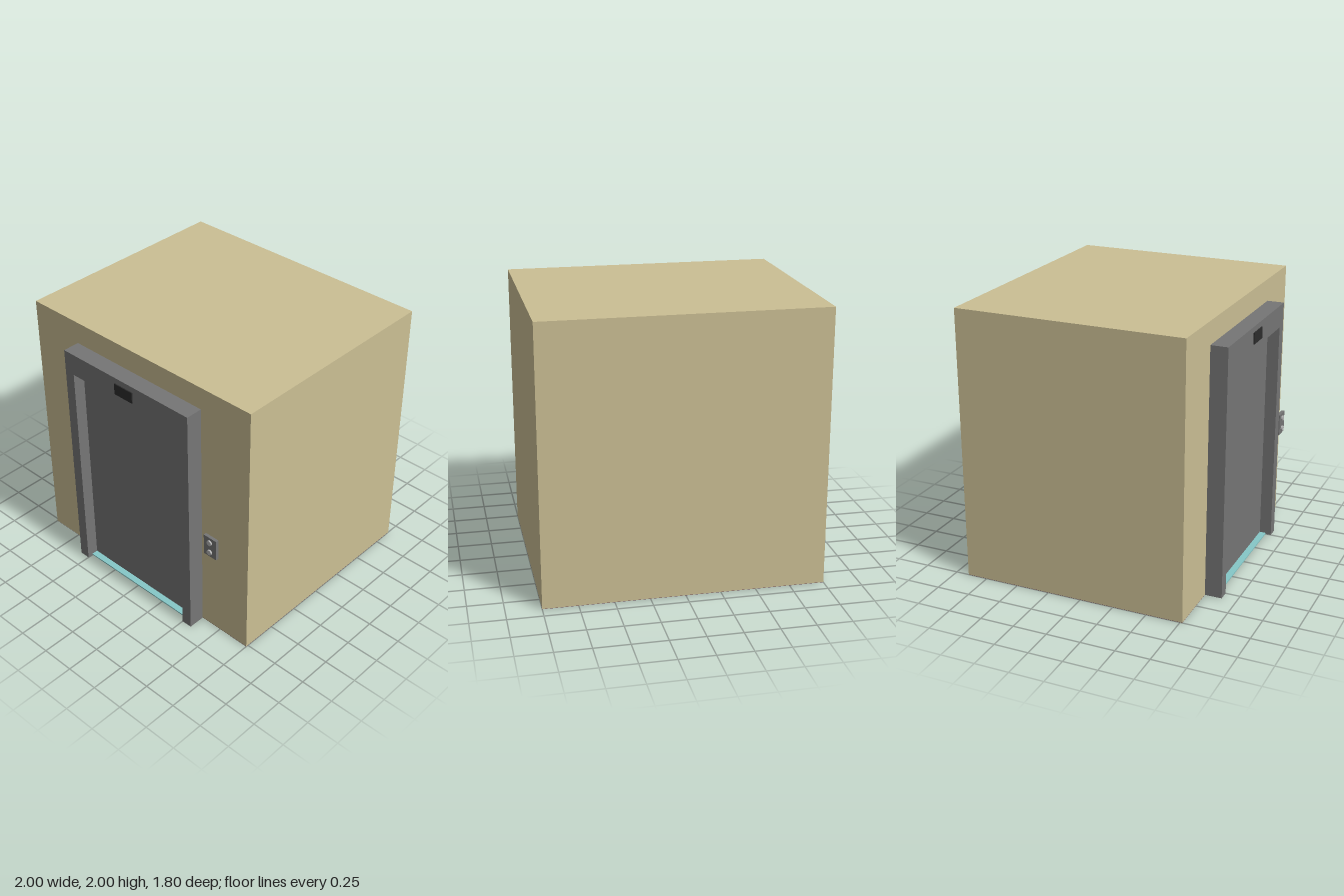
import * as THREE from 'three';

const paint = (color) => new THREE.MeshStandardMaterial({ color });
const wall = paint(0xcbbf94);
const steel = paint(0x767676);
const carpet = paint(0x7a5560);
const dark = paint(0x2c2c2c);
const teal = paint(0x86c8c8);
const silver = paint(0xb4b4b4);

export function createModel() {
  const model = new THREE.Group();

  const add = (name, geometry, material) => {
    const mesh = new THREE.Mesh(geometry, material);
    mesh.name = name;
    model.add(mesh);
    return mesh;
  };
  // Box given by its lower and upper limits on each axis
  const box = (name, material, [x0, x1], [y0, y1], [z0, z1]) =>
    add(name, new THREE.BoxGeometry(x1 - x0, y1 - y0, z1 - z0), material)
      .position.set((x0 + x1) / 2, (y0 + y1) / 2, (z0 + z1) / 2);

  // Cabin block with a thin coloured floor underneath
  box('cabin', wall, [-1, 1], [0.002, 2], [-0.9, 0.767]);
  box('floor', carpet, [-1, 1], [0, 0.002], [-0.9, 0.767]);

  // Door frame: one piece, open at the bottom
  const outline = new THREE.Shape([
    [-0.58, 0], [-0.5, 0], [-0.5, 1.67], [0.5, 1.67],
    [0.5, 0], [0.58, 0], [0.58, 1.835], [-0.58, 1.835],
  ].map(([x, y]) => new THREE.Vector2(x, y)));
  add('doorFrame', new THREE.ExtrudeGeometry(outline, { depth: 0.125, bevelEnabled: false }), steel)
    .position.z = 0.767;

  // Two sliding doors meeting in the middle, and the sill before them
  box('rightDoor', steel, [-0.5, 0], [0.002, 1.67], [0.767, 0.803]);
  box('leftDoor', steel, [0, 0.5], [0.002, 1.67], [0.767, 0.803]);
  box('sill', teal, [-0.5, 0.5], [0, 0.01], [0.803, 0.85]);

  // Floor indicator above the doors
  box('indicator', dark, [-0.083, 0.083], [1.71, 1.793], [0.89, 0.9]);

  // Call panel with two round buttons
  box('callPanel', steel, [0.69, 0.803], [0.755, 0.917], [0.842, 0.865]);
  for (const [name, y] of [['upButton', 0.878], ['downButton', 0.795]]) {
    const button = add(name, new THREE.CylinderGeometry(0.02, 0.02, 0.016, 32), silver);
    button.rotation.x = Math.PI / 2;
    button.position.set(0.746, y, 0.869);
  }

  return model;
}
